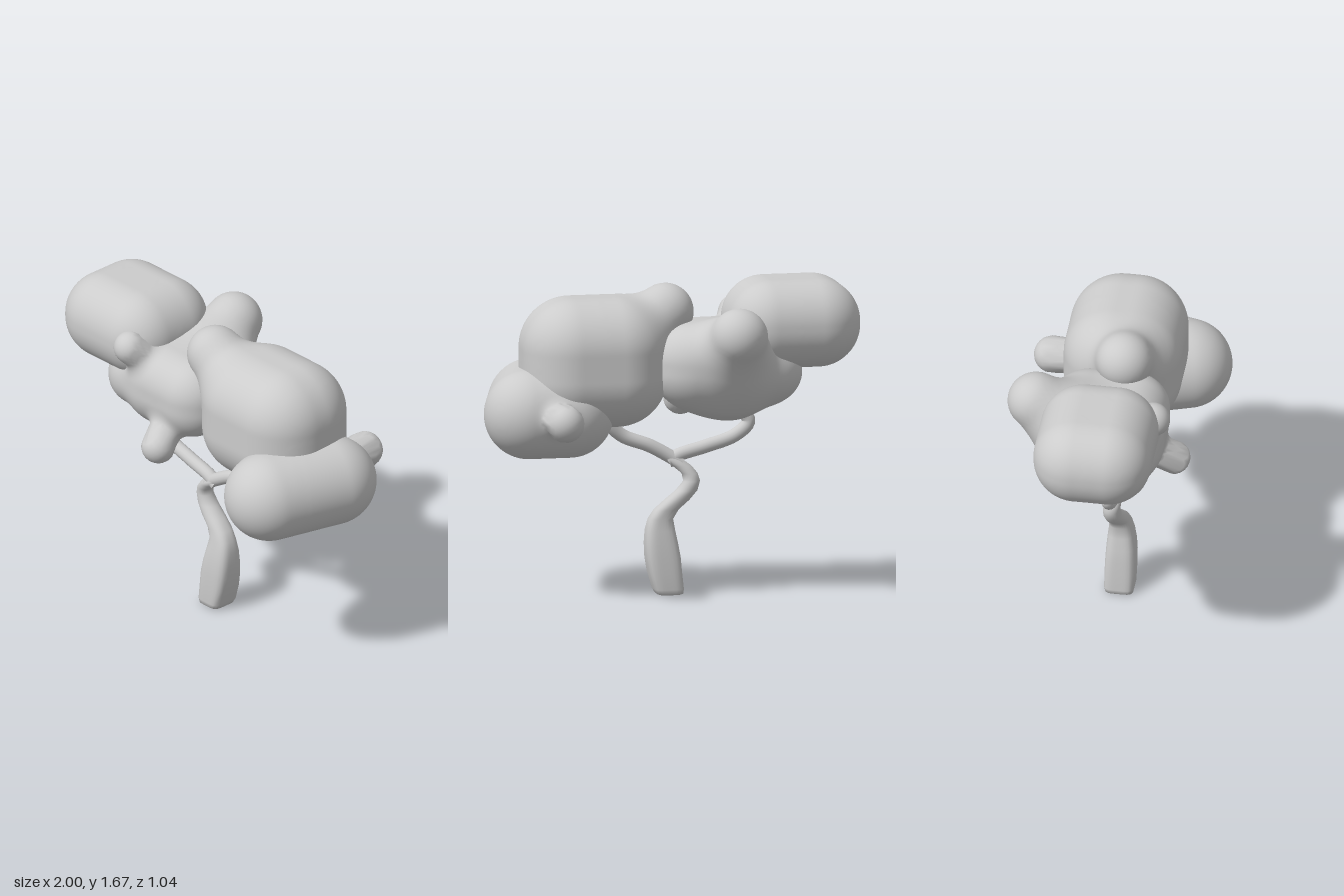
import * as THREE from 'three';
import { mergeVertices } from 'three/addons/utils/BufferGeometryUtils.js';

const V = (x, y, z) => new THREE.Vector3(x, y, z);
const material = new THREE.MeshStandardMaterial({ color: 0xcccccc });

// Distance functions for the soft foliage shapes
function roundedBox(min, max, r) {
  const c = min.clone().add(max).multiplyScalar(0.5);
  const h = max.clone().sub(min).multiplyScalar(0.5).subScalar(r);
  return (p) => Math.hypot(
    Math.max(Math.abs(p.x - c.x) - h.x, 0),
    Math.max(Math.abs(p.y - c.y) - h.y, 0),
    Math.max(Math.abs(p.z - c.z) - h.z, 0)) - r;
}

function limb(a, b, ra, rb) {
  const ab = b.clone().sub(a), len2 = ab.lengthSq(), q = V(0, 0, 0);
  return (p) => {
    const t = THREE.MathUtils.clamp(q.copy(p).sub(a).dot(ab) / len2, 0, 1);
    return q.copy(a).addScaledVector(ab, t).distanceTo(p) - (ra + (rb - ra) * t);
  };
}

function roundedTriangle(a, b, c, r) {
  const tri = new THREE.Triangle(a, b, c), q = V(0, 0, 0);
  return (p) => tri.closestPointToPoint(p, q).distanceTo(p) - r;
}

// Blend a base shape with bumps, each bump given as [shape, softness]
const blend = (base, bumps) => (p) => bumps.reduce((d, [f, k]) => {
  const e = f(p), h = Math.max(k - Math.abs(d - e), 0) / k;
  return Math.min(d, e) - h * h * k * 0.25;
}, base(p));

// Shrink a sphere inwards onto the blended shape
function foliage(name, center, base, bumps = []) {
  const shape = blend(base, bumps);
  let geo = new THREE.IcosahedronGeometry(1, 26);
  geo.deleteAttribute('normal');
  geo.deleteAttribute('uv');
  geo = mergeVertices(geo, 1e-5);
  const pos = geo.attributes.position, dir = V(0, 0, 0), p = V(0, 0, 0);
  for (let i = 0; i < pos.count; i++) {
    dir.fromBufferAttribute(pos, i).normalize();
    let t = 1.1;
    for (let s = 0; s < 90; s++) {
      const d = shape(p.copy(center).addScaledVector(dir, t));
      if (d < 0.0004) break;
      t = Math.max(t - d * 0.85, 0.02);
    }
    p.copy(center).addScaledVector(dir, t);
    pos.setXYZ(i, p.x, p.y, p.z);
  }
  geo.computeVertexNormals();
  const mesh = new THREE.Mesh(geo, material);
  mesh.name = name;
  return mesh;
}

// Trunk: rounded-square sections [y, centre x, centre z, half x, half z, squareness]
function trunk() {
  const rows = [
    [0, -0.005, 0.03, 0.055, 0.06, 5],
    [0.006, -0.005, 0.03, 0.07, 0.075, 5],
    [0.03, 0, 0.03, 0.078, 0.08, 5],
    [0.12, 0.018, 0.031, 0.086, 0.081, 5],
    [0.2, 0.028, 0.032, 0.09, 0.08, 4.5],
    [0.27, 0.036, 0.032, 0.086, 0.076, 4],
    [0.34, 0.042, 0.03, 0.077, 0.068, 3.5],
    [0.4, 0.04, 0.027, 0.065, 0.058, 3],
    [0.45, 0.01, 0.02, 0.064, 0.055, 2.6],
    [0.5, -0.045, 0.012, 0.066, 0.053, 2.3],
    [0.55, -0.095, 0.005, 0.058, 0.05, 2],
    [0.6, -0.122, 0.002, 0.044, 0.045, 2],
    [0.64, -0.112, 0.01, 0.042, 0.042, 2],
    [0.68, -0.072, 0.02, 0.05, 0.042, 2],
    [0.72, -0.02, 0.03, 0.045, 0.038, 2],
    [0.74, -0.015, 0.03, 0.02, 0.02, 2],
  ];
  const n = 32, pts = [], idx = [];
  for (const [y, cx, cz, hx, hz, e] of rows) {
    for (let i = 0; i < n; i++) {
      const a = (i / n) * Math.PI * 2, c = Math.cos(a), s = Math.sin(a);
      const k = Math.pow(Math.abs(c) ** e + Math.abs(s) ** e, -1 / e);
      pts.push(cx + hx * c * k, y, cz + hz * s * k);
    }
  }
  for (let j = 0; j < rows.length - 1; j++) {
    for (let i = 0; i < n; i++) {
      const a = j * n + i, b = j * n + ((i + 1) % n);
      idx.push(a, a + n, b, b, a + n, b + n);
    }
  }
  // Closed underside and tip
  const top = (rows.length - 1) * n;
  for (let i = 1; i < n - 1; i++) idx.push(0, i, i + 1, top, top + i + 1, top + i);
  const geo = new THREE.BufferGeometry();
  geo.setAttribute('position', new THREE.Float32BufferAttribute(pts, 3));
  geo.setIndex(idx);
  geo.computeVertexNormals();
  const mesh = new THREE.Mesh(geo, material);
  mesh.name = 'trunk';
  return mesh;
}

function branch(name, points) {
  const curve = new THREE.CatmullRomCurve3(points);
  const mesh = new THREE.Mesh(new THREE.TubeGeometry(curve, 48, 0.036, 16), material);
  mesh.name = name;
  return mesh;
}

export function createModel() {
  const group = new THREE.Group();
  group.name = 'cloudTree';

  // Trunk and its two branches
  group.add(trunk());
  group.add(branch('rightBranch', [
    V(0, 0.7, 0.03), V(-0.06, 0.735, 0.03), V(-0.2, 0.775, 0.03), V(-0.36, 0.83, 0.03),
    V(-0.432, 0.9, 0.03), V(-0.39, 0.97, 0.03), V(-0.27, 1.07, 0.03)]));
  group.add(branch('leftBranch', [
    V(-0.07, 0.69, 0.025), V(0, 0.735, 0.03), V(0.1, 0.79, 0.03), V(0.24, 0.845, 0.03),
    V(0.31, 0.91, 0.02), V(0.36, 1.02, 0.01)]));

  // High pad on the far right
  group.add(foliage('upperFoliage', V(-0.65, 1.43, 0),
    roundedBox(V(-1, 1.2, -0.31), V(-0.3, 1.665, 0.31), 0.225)));

  // Middle pad: tapered end, rear bump and two front knobs
  group.add(foliage('middleFoliage', V(-0.3, 1.22, 0),
    roundedBox(V(-0.5, 1.01, -0.305), V(0.1, 1.445, 0.305), 0.19), [
      [roundedBox(V(-0.69, 1.015, -0.26), V(-0.2, 1.36, 0.26), 0.17), 0.08],
      [limb(V(-0.3, 1.415, -0.37), V(-0.28, 1.17, -0.08), 0.15, 0.22), 0.16],
      [limb(V(-0.41, 1.445, 0.265), V(-0.37, 1.35, 0.17), 0.09, 0.07), 0.07],
      [limb(V(-0.13, 0.99, 0.33), V(-0.18, 1.08, 0.2), 0.09, 0.07), 0.07],
    ]));

  // Large pad with a bump on its inner top corner
  group.add(foliage('largeFoliage', V(0.4, 1.25, 0),
    roundedBox(V(0.02, 0.91, -0.31), V(0.79, 1.595, 0.31), 0.27), [
      [limb(V(0.01, 1.495, 0.05), V(0.25, 1.3, 0.01), 0.15, 0.17), 0.1],
    ]));

  // Low pad reaching forward, with a knob behind
  group.add(foliage('lowerFoliage', V(0.67, 0.995, 0.02),
    roundedTriangle(V(0.55, 0.995, -0.075), V(0.765, 0.995, -0.075), V(0.67, 0.995, 0.285), 0.235), [
      [limb(V(0.64, 0.995, -0.425), V(0.64, 0.995, -0.42), 0.095, 0.095), 0.04],
      [limb(V(0.64, 0.995, -0.42), V(0.65, 0.995, -0.2), 0.065, 0.08), 0.06],
    ]));

  return group;
}
